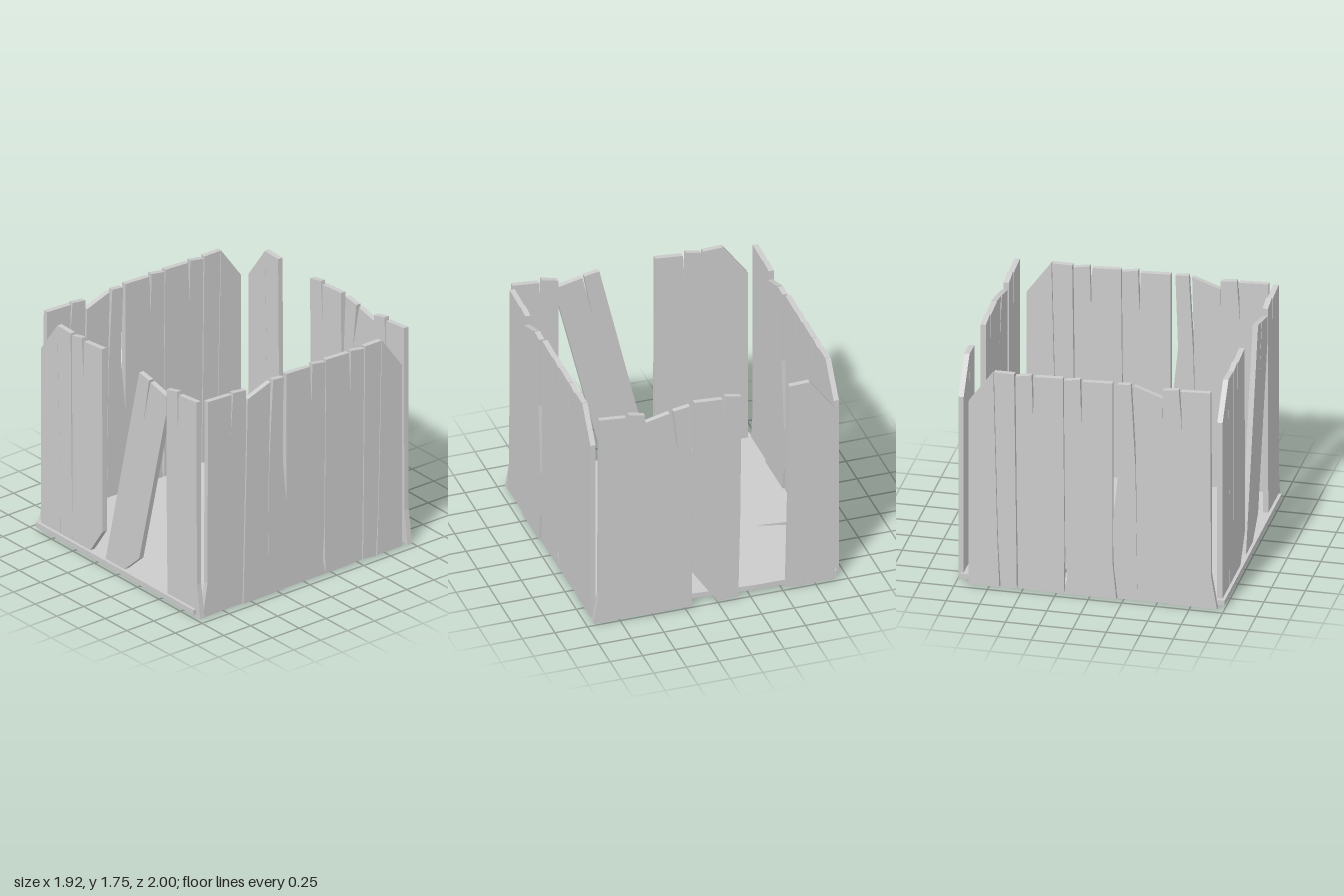
import * as THREE from 'three';

const T = 0.04; // board thickness
const mat = new THREE.MeshStandardMaterial({ color: 0xcccccc, flatShading: true });

// Board cut from an outline [u, y], standing from depth w to w + thickness
function board(name, pts, w, thickness = T) {
  const shape = new THREE.Shape(pts.map(([u, y]) => new THREE.Vector2(u, y)));
  const geo = new THREE.ExtrudeGeometry(shape, { depth: thickness, bevelEnabled: false });
  geo.translate(0, 0, w);
  const mesh = new THREE.Mesh(geo, mat);
  mesh.name = name;
  return mesh;
}

// Wall from a list of { pts, shift }
function wall(name, planks, w) {
  const g = new THREE.Group();
  g.name = name;
  planks.forEach(({ pts, shift = 0 }, i) => g.add(board(`${name}Plank${i + 1}`, pts, w + shift)));
  return g;
}

// Outer plank pair with a snapped top corner
const snappedCorner = [
  { pts: [[-0.9, 0.01], [-0.9, 1.48], [-0.71, 1.74], [-0.67, 0.2], [-0.67, 0.01]] },
  { pts: [[-0.66, 0], [-0.67, 0.2], [-0.708, 1.74], [-0.555, 1.735], [-0.545, 0.7], [-0.53, 0.02]] },
];

// Outer plank with a split top and a flared foot
const flaredPlank = {
  pts: [[0.57, 0.01], [0.95, 0.005], [0.91, 0.27], [0.905, 1.745], [0.7, 1.725],
    [0.69, 1.4], [0.68, 1.745], [0.555, 1.715], [0.555, 1.1]],
};

const frontPlanks = [
  ...snappedCorner,
  // split plank with a broken foot
  { pts: [[-0.53, 0.02], [-0.37, 0.005], [-0.185, 0.27], [-0.19, 1.75], [-0.4, 1.73],
    [-0.405, 1.38], [-0.425, 1.75], [-0.54, 1.725]] },
  // leaning plank
  { pts: [[-0.16, 0.02], [0, 0.005], [0.24, 0.22], [0.55, 1.5], [0.55, 1.66], [0.37, 1.7],
    [0.29, 1.34], [0.355, 1.71], [0.24, 1.73]] },
  flaredPlank,
];

const backPlanks = [
  ...snappedCorner,
  // split plank with a broken foot
  { pts: [[-0.16, 0.015], [0, 0.005], [0.185, 0.28], [0.175, 1.745], [-0.04, 1.73],
    [-0.035, 1.4], [-0.06, 1.75], [-0.185, 1.725], [-0.175, 0.7]] },
  { pts: [[0.2, 0.01], [0.57, 0.01], [0.555, 1.1], [0.55, 1.66], [0.37, 1.7], [0.3, 1.34],
    [0.34, 1.71], [0.215, 1.73], [0.19, 1.2]], shift: -0.01 },
  flaredPlank,
];

// Side wall outlines as [z, y], front to back
const sideOutlines = [
  { pts: [[0.95, 0.005], [0.905, 0.27], [0.9, 1.74], [0.68, 1.73], [0.69, 1.4], [0.73, 0.01]] },
  { pts: [[0.73, 0.01], [0.69, 1.4], [0.665, 1.74], [0.545, 1.725], [0.55, 1.2], [0.58, 0.01]] },
  { pts: [[0.58, 0.01], [0.55, 1.2], [0.54, 1.655], [0.33, 1.73], [0.345, 1.08], [0.355, 0.01]], shift: 0.012 },
  { pts: [[0.355, 0.01], [0.34, 1.08], [0.305, 1.74], [0.205, 1.73], [0.225, 1.15],
    [0.17, 0.6], [0.18, 0.25], [0.21, 0.01]], shift: 0.012 },
  { pts: [[0.2, 0.01], [0.172, 0.3], [0.172, 1.74], [-0.05, 1.73], [-0.06, 1.4], [-0.02, 0.01]] },
  { pts: [[-0.02, 0.01], [-0.06, 1.4], [-0.07, 1.745], [-0.19, 1.725], [-0.18, 0.4], [-0.165, 0.13], [-0.19, 0.01]] },
  { pts: [[-0.19, 0.01], [-0.185, 0.4], [-0.197, 1.74], [-0.41, 1.73], [-0.42, 1.4], [-0.38, 0.01]] },
  { pts: [[-0.38, 0.01], [-0.42, 1.4], [-0.43, 1.74], [-0.55, 1.72], [-0.54, 0.7], [-0.53, 0.02]] },
  { pts: [[-0.54, 0.02], [-0.56, 1.735], [-0.71, 1.735], [-0.68, 0.4], [-0.66, 0.005]] },
  { pts: [[-0.67, 0.01], [-0.685, 0.4], [-0.715, 1.735], [-0.9, 1.48], [-0.9, 0.01]] },
];

function sideWall(name, x) {
  const planks = sideOutlines.map(({ pts, shift }) => ({ pts: pts.map(([z, y]) => [-z, y]), shift }));
  const g = wall(name, planks, x);
  g.rotation.y = Math.PI / 2;
  return g;
}

// Floor slabs, outlines as [x, z]
function floor() {
  const g = new THREE.Group();
  g.name = 'floor';
  const front = [[-0.93, 1], [0.9, 1], [0.9, -0.02], [0.16, -0.11], [-0.2, -0.16], [-0.55, -0.205], [-0.93, -0.25]];
  const back = [[-0.93, -0.32], [-0.55, -0.205], [-0.2, -0.16], [0.16, -0.11], [0.895, -0.02],
    [0.885, -0.89], [0.3, -0.915], [-0.3, -0.965], [-0.92, -0.97]];
  [['floorFront', front], ['floorBack', back]].forEach(([name, pts]) => {
    const slab = board(name, pts, -0.068, 0.04);
    slab.rotation.x = Math.PI / 2;
    g.add(slab);
  });
  return g;
}

export function createModel() {
  const model = new THREE.Group();
  model.name = 'brokenPlankShed';
  model.add(
    floor(),
    wall('frontWall', frontPlanks, 0.937),
    wall('backWall', backPlanks, -0.99),
    sideWall('leftWall', 0.903),
    sideWall('rightWall', -0.963),
  );
  return model;
}
